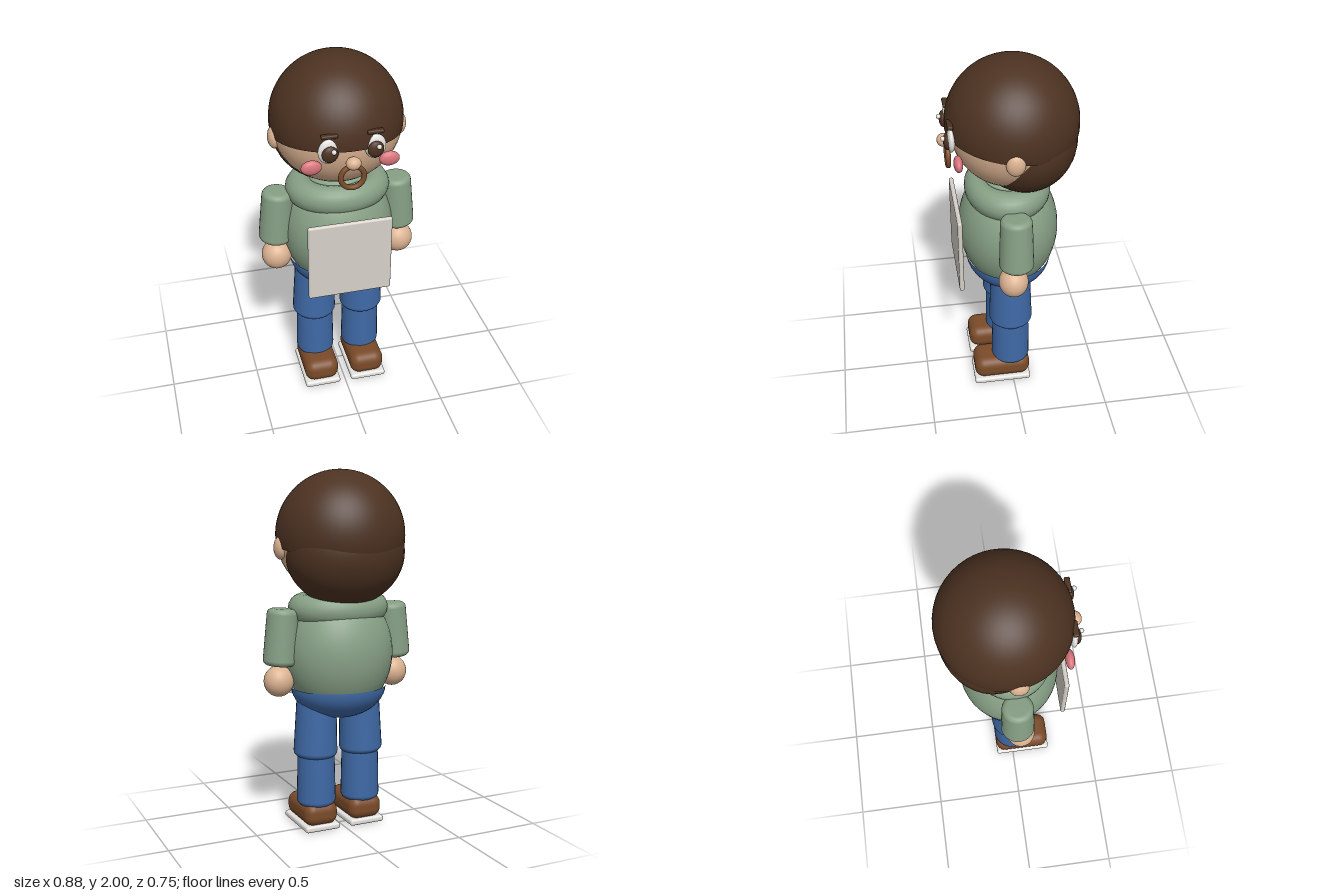
import * as THREE from 'three';
import { RoundedBoxGeometry } from 'three/addons/geometries/RoundedBoxGeometry.js';

const mat = (name, color) => Object.assign(new THREE.MeshStandardMaterial({ color }), { name });

export function createModel() {
  const model = new THREE.Group();
  model.name = 'standingFigure';
  const skin = mat('skin', 0xdcb392);
  const hair = mat('darkBrownHair', 0x4c3221);
  hair.side = THREE.DoubleSide;
  const green = mat('sageGreen', 0x87a085);
  const blue = mat('denimBlue', 0x3f69a6);
  const brown = mat('leatherBrown', 0x7a4b29);
  const pink = mat('cheekPink', 0xd9757d);
  const paper = mat('paper', 0xd6d1c8);
  const white = mat('white', 0xe4e3df);

  const add = (name, geo, material, x, y, z, parent = model) => {
    const m = new THREE.Mesh(geo, material);
    m.name = name;
    m.position.set(x, y, z);
    parent.add(m);
    return m;
  };
  const ball = (name, material, x, y, z, rx, ry = rx, rz = rx, seg = 32) => {
    const m = add(name, new THREE.SphereGeometry(1, seg, Math.round(seg * 0.7)), material, x, y, z);
    m.scale.set(rx, ry, rz);
    return m;
  };
  // Upright limb with softly rounded ends
  const limbGeo = (rTop, rBottom, h, e = 0.03) => {
    const pts = [new THREE.Vector2(0, -h / 2)];
    for (let i = 0; i <= 5; i++) {
      const a = (i / 5) * Math.PI / 2;
      pts.push(new THREE.Vector2(rBottom - e + e * Math.sin(a), -h / 2 + e - e * Math.cos(a)));
    }
    for (let i = 0; i <= 5; i++) {
      const a = (i / 5) * Math.PI / 2;
      pts.push(new THREE.Vector2(rTop - e + e * Math.cos(a), h / 2 - e + e * Math.sin(a)));
    }
    pts.push(new THREE.Vector2(0, h / 2));
    return new THREE.LatheGeometry(pts, 28);
  };

  // Head and hair
  ball('head', skin, 0, 1.64, 0, 0.346, 0.33, 0.31, 40);
  const cap = add('hairCap', new THREE.SphereGeometry(0.353, 44, 28, 0, Math.PI * 2, 0, 1.75), hair, 0, 1.647, -0.022);
  cap.rotation.x = -0.12;
  ball('backHair', hair, 0, 1.56, -0.085, 0.332, 0.295, 0.282, 40);

  // Face
  ball('nose', skin, 0, 1.563, 0.338, 0.04, 0.034, 0.035, 20);
  add('mouthRing', new THREE.TorusGeometry(0.061, 0.014, 12, 36), brown, 0, 1.475, 0.32);
  for (const s of [-1, 1]) {
    ball('eyeWhite', white, s * 0.12, 1.63, 0.308, 0.055, 0.067, 0.022, 24);
    ball('pupil', hair, s * 0.117, 1.622, 0.326, 0.042, 0.045, 0.022, 24);
    ball('eyeGlint', white, s * 0.115 + 0.013, 1.645, 0.35, 0.013, 0.013, 0.013, 14);
    add('eyebrow', new RoundedBoxGeometry(0.085, 0.02, 0.03, 2, 0.007), hair, s * 0.117, 1.715, 0.312);
    ball('cheek', pink, s * 0.203, 1.535, 0.283, 0.054, 0.04, 0.024, 24);
    ball('ear', skin, s * 0.337, 1.585, 0.01, 0.035, 0.062, 0.05, 24);
  }

  // Top and collar
  ball('sweater', green, 0, 1.0, 0, 0.308, 0.36, 0.275, 40);
  const collar = add('collar', new THREE.TorusGeometry(0.2, 0.08, 18, 44), green, 0, 1.25, 0.005);
  collar.rotation.x = Math.PI / 2;
  collar.scale.set(1.02, 0.83, 1);

  // Trouser seat
  const seat = add('trouserSeat',
    new THREE.SphereGeometry(1, 40, 16, 0, Math.PI * 2, Math.PI / 2, Math.PI / 2), blue, 0, 0.81, 0);
  seat.scale.set(0.27, 0.18, 0.238);

  // Arms, hands, legs and shoes
  for (const s of [-1, 1]) {
    const arm = add('sleeve', limbGeo(0.085, 0.093, 0.31), green, s * 0.34, 1.105, 0.006);
    arm.rotation.z = s * 0.07;
    ball('hand', skin, s * 0.35, 0.86, 0.022, 0.084, 0.086, 0.08, 28);

    const thigh = add('upperLeg', limbGeo(0.112, 0.123, 0.335), blue, s * 0.137, 0.585, 0.006);
    thigh.rotation.z = s * 0.025;
    add('lowerLeg', limbGeo(0.104, 0.11, 0.33), blue, s * 0.137, 0.3, 0.006);

    add('shoe', new RoundedBoxGeometry(0.198, 0.135, 0.325, 5, 0.055), brown, s * 0.137, 0.093, 0.062);
    add('sole', new RoundedBoxGeometry(0.208, 0.036, 0.33, 3, 0.014), white, s * 0.137, 0.018, 0.064);
  }

  // Blank board held in front
  add('board', new RoundedBoxGeometry(0.46, 0.458, 0.026, 3, 0.012), paper, 0, 0.952, 0.288);

  return model;
}
